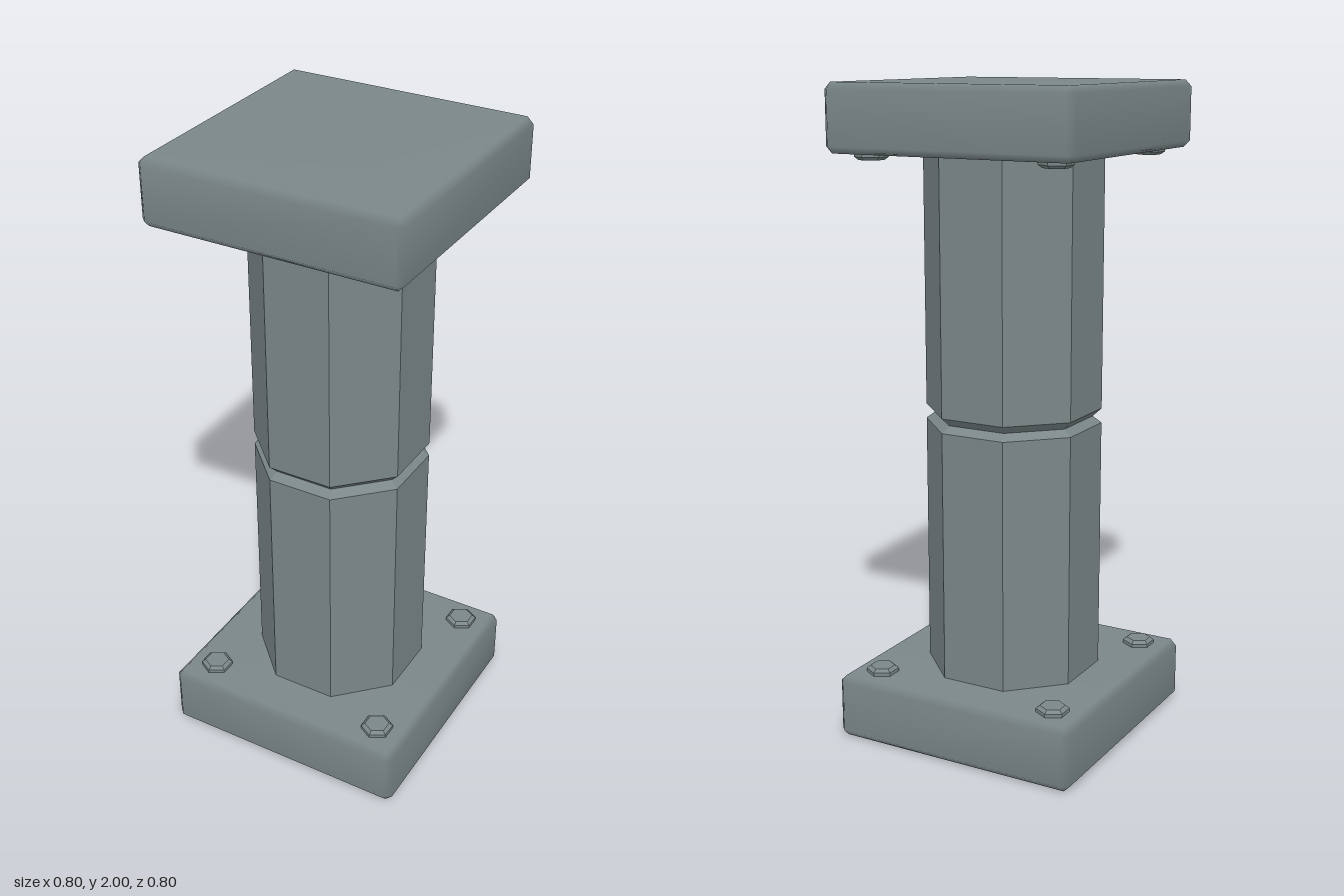
import * as THREE from 'three';
import { mergeVertices } from 'three/addons/utils/BufferGeometryUtils.js';
import { ConvexGeometry } from 'three/addons/geometries/ConvexGeometry.js';

// Box centred on the origin with every edge chamfered by c, softly shaded
function chamferedBox(w, h, d, c) {
  const points = [];
  for (const sx of [-1, 1]) for (const sy of [-1, 1]) for (const sz of [-1, 1]) {
    const x = w / 2, y = h / 2, z = d / 2;
    points.push(
      new THREE.Vector3(sx * x, sy * (y - c), sz * (z - c)),
      new THREE.Vector3(sx * (x - c), sy * y, sz * (z - c)),
      new THREE.Vector3(sx * (x - c), sy * (y - c), sz * z));
  }
  const geo = new ConvexGeometry(points);
  geo.deleteAttribute('normal');
  const merged = mergeVertices(geo, 1e-4);
  merged.computeVertexNormals();
  return merged;
}

// Faceted solid of revolution from [distance to flat, y] pairs
function facetedLathe(profile, sides) {
  const k = 1 / Math.cos(Math.PI / sides);
  const points = profile.map(([r, y]) => new THREE.Vector2(r * k, y));
  const geo = new THREE.LatheGeometry(points, sides, Math.PI / sides).toNonIndexed();
  geo.computeVertexNormals();
  return geo;
}

export function createModel() {
  const model = new THREE.Group();
  model.name = 'pillar';
  const steel = new THREE.MeshStandardMaterial({ color: 0x7b8789 });
  steel.name = 'grey steel';

  const add = (parent, name, geometry, x = 0, y = 0, z = 0) => {
    const mesh = new THREE.Mesh(geometry, steel);
    mesh.name = name;
    mesh.position.set(x, y, z);
    parent.add(mesh);
    return mesh;
  };

  // Octagonal shaft with a V groove at mid height
  add(model, 'shaft', facetedLathe(
    [[0.25, 0.19], [0.25, 0.98], [0.225, 1], [0.25, 1.025], [0.25, 1.81]], 8));

  // Matching end plates, each with four hexagonal bolts facing the shaft
  const plate = chamferedBox(0.8, 0.2, 0.8, 0.02);
  const washer = new THREE.CylinderGeometry(0.05, 0.05, 0.011, 6).toNonIndexed();
  const head = new THREE.CylinderGeometry(0.038, 0.05, 0.009, 6).toNonIndexed();
  washer.computeVertexNormals();
  head.computeVertexNormals();

  for (const [name, y, flip] of [['base', 0, 0], ['cap', 2, Math.PI]]) {
    const end = new THREE.Group();
    end.name = name;
    end.position.y = y;
    end.rotation.x = flip;
    add(end, name + 'Plate', plate, 0, 0.1, 0);
    for (const x of [-0.3, 0.3]) for (const z of [-0.3, 0.3]) {
      const bolt = new THREE.Group();
      bolt.name = 'bolt';
      bolt.position.set(x, 0.2, z);
      add(bolt, 'boltSide', washer, 0, 0.0055, 0);
      add(bolt, 'boltTop', head, 0, 0.0155, 0);
      end.add(bolt);
    }
    model.add(end);
  }
  return model;
}
